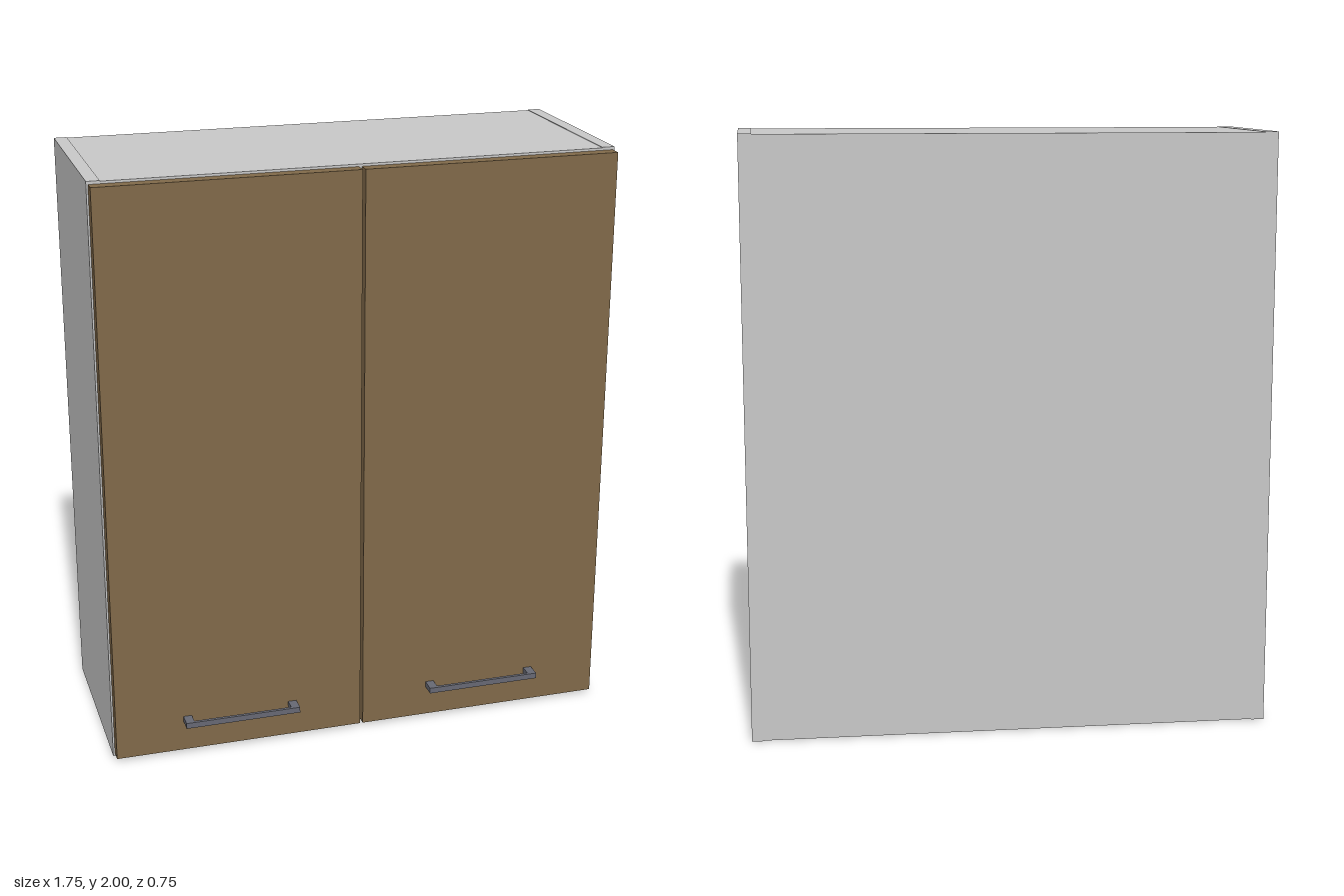
import * as THREE from 'three';

export function createModel() {
  const cabinet = new THREE.Group();
  cabinet.name = 'wallCabinet';

  const mat = (name, color) => {
    const m = new THREE.MeshStandardMaterial({ color });
    m.name = name;
    return m;
  };
  const panelGrey = mat('panel grey', 0xc8c8c8);
  const doorBrown = mat('door brown', 0x806949);
  const handleMetal = mat('handle metal', 0x666873);

  // Box given by its minimum and maximum on each axis
  const block = (parent, name, material, [x0, x1], [y0, y1], [z0, z1]) => {
    const mesh = new THREE.Mesh(new THREE.BoxGeometry(x1 - x0, y1 - y0, z1 - z0), material);
    mesh.position.set((x0 + x1) / 2, (y0 + y1) / 2, (z0 + z1) / 2);
    mesh.name = name;
    parent.add(mesh);
  };

  const W = 0.873, H = 2, T = 0.043;   // half width, height, board thickness
  const back = -0.375, front = 0.279, doorFront = 0.322, handleFront = 0.373;
  const inner = W - T, step = 0.002;   // top and bottom sit a hair inside the sides

  // Carcass
  const carcass = new THREE.Group();
  carcass.name = 'carcass';
  cabinet.add(carcass);
  block(carcass, 'leftSide', panelGrey, [inner, W], [0, H], [back, front]);
  block(carcass, 'rightSide', panelGrey, [-W, -inner], [0, H], [back, front]);
  block(carcass, 'topPanel', panelGrey, [-inner, inner], [H - T, H - step], [back, front]);
  block(carcass, 'bottomPanel', panelGrey, [-inner, inner], [step, T], [back, front]);
  block(carcass, 'backPanel', panelGrey, [-inner, inner], [T, H - T], [back, back + 0.01]);

  // Doors, each with a bracket handle near its lower edge
  for (const side of [1, -1]) {
    const span = (a, b) => (side > 0 ? [a, b] : [-b, -a]);
    const door = new THREE.Group();
    door.name = side > 0 ? 'leftDoor' : 'rightDoor';
    cabinet.add(door);
    block(door, 'doorPanel', doorBrown, span(0.005, 0.867), [0.012, 1.99], [front, doorFront]);

    const handle = new THREE.Group();
    handle.name = 'handle';
    door.add(handle);
    const y = [0.119, 0.139], barBack = handleFront - 0.011;
    block(handle, 'handleBar', handleMetal, span(0.236, 0.634), y, [barBack, handleFront]);
    for (const x of [0.236, 0.605])
      block(handle, 'handlePost', handleMetal, span(x, x + 0.029), y, [doorFront, barBack]);
  }

  return cabinet;
}
